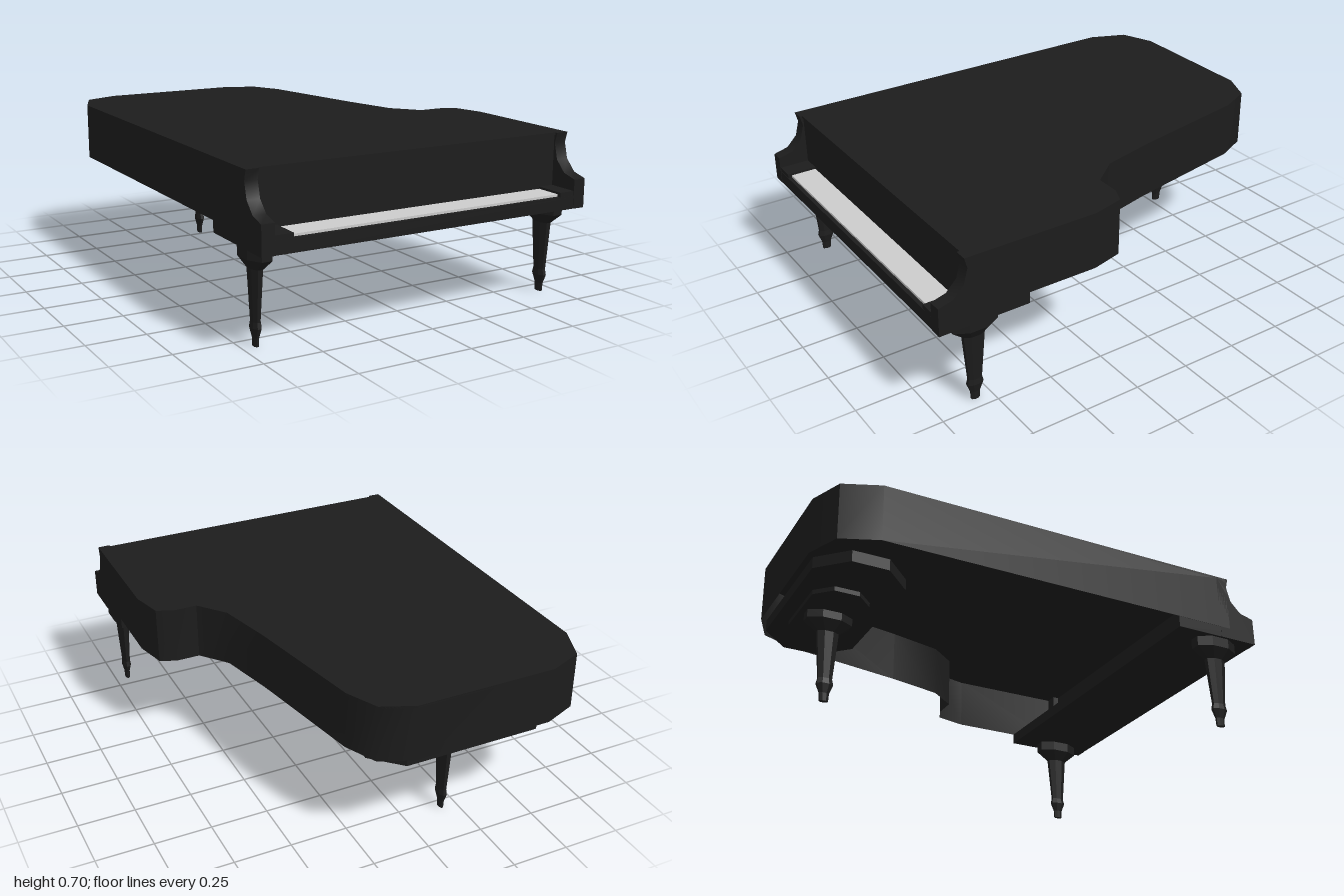
import * as THREE from 'three';
import { toCreasedNormals } from 'three/addons/utils/BufferGeometryUtils.js';

const black = new THREE.MeshStandardMaterial({ color: 0x1c1c1c, side: THREE.DoubleSide });
const blackFlat = new THREE.MeshStandardMaterial({ color: 0x1c1c1c, flatShading: true });
const ivory = new THREE.MeshStandardMaterial({ color: 0xcccccc });

// Case outline as (x, z), from the right front corner round the tail to the left
const outline = [
  [0.755, 0.87], [0.755, 0.29], [0.72, 0.15], [0.65, 0.12], [0.545, 0.12], [0.45, 0],
  [0.39, -0.25], [0.285, -0.8], [0.22, -0.94], [0.08, -1], [-0.54, -1], [-0.69, -0.94],
  [-0.755, -0.78], [-0.755, 0.87],
];

export function createModel() {
  const model = new THREE.Group();

  const add = (name, geometry, material = blackFlat) => {
    const mesh = new THREE.Mesh(geometry, material);
    mesh.name = name;
    model.add(mesh);
    return mesh;
  };

  // Box given by its limits on each axis
  const box = (name, [x0, x1], [y0, y1], [z0, z1], material) =>
    add(name, new THREE.BoxGeometry(x1 - x0, y1 - y0, z1 - z0), material)
      .position.set((x0 + x1) / 2, (y0 + y1) / 2, (z0 + z1) / 2);

  // Horizontal slab from an (x, z) outline
  const slab = (name, points, y0, y1) => {
    const shape = new THREE.Shape(points.map(([x, z]) => new THREE.Vector2(x, -z)));
    const geometry = new THREE.ExtrudeGeometry(shape, { depth: y1 - y0, bevelEnabled: false });
    geometry.rotateX(-Math.PI / 2).translate(0, y0, 0);
    return add(name, geometry);
  };

  // Thin bent rim, open underneath, closed by the lid
  const rim = new THREE.PlaneGeometry(1, 1, outline.length - 1, 1);
  const pos = rim.attributes.position;
  for (let i = 0; i < pos.count; i++) {
    const [x, z] = outline[i % outline.length];
    pos.setXYZ(i, x, i < outline.length ? 0.7 : 0.45, z);
  }
  add('rim', toCreasedNormals(rim, 0.8), black);
  slab('lid', outline, 0.69, 0.7);

  // Keybed, fallboard and keyboard
  box('keybed', [-0.754, 0.754], [0.4, 0.45], [0.6, 0.998]);
  box('fallboard', [-0.7, 0.7], [0.45, 0.695], [0.85, 0.865]);
  box('keySlip', [-0.7, 0.7], [0.45, 0.456], [0.98, 0.998]);
  box('keys', [-0.62, 0.63], [0.45, 0.466], [0.865, 0.98], ivory);
  box('keyBlockRight', [-0.7, -0.62], [0.45, 0.475], [0.865, 0.997]);
  box('keyBlockLeft', [0.63, 0.7], [0.45, 0.475], [0.865, 0.997]);

  // Curved cheeks at both ends of the keyboard, profile in (z, y)
  const cheekProfile = [
    [0.82, 0.4], [1, 0.4], [1, 0.523], [0.935, 0.54], [0.888, 0.588], [0.87, 0.655],
    [0.882, 0.7], [0.82, 0.7],
  ].map(([z, y]) => new THREE.Vector2(z, y));
  const cheek = new THREE.ExtrudeGeometry(new THREE.Shape(cheekProfile), { depth: 0.055, bevelEnabled: false });
  cheek.rotateY(-Math.PI / 2);
  const cheekSmooth = toCreasedNormals(cheek, 0.8);
  add('cheekLeft', cheekSmooth, black).position.x = 0.755;
  add('cheekRight', cheekSmooth, black).position.x = -0.7;

  // Stepped eight-sided plates carrying the tail leg
  const plate = (name, cx, cz, a, b, c, y0, y1) => slab(name, [
    [a, b - c], [a, c - b], [a - c, -b], [c - a, -b], [-a, c - b], [-a, b - c], [c - a, b], [a - c, b],
  ].map(([x, z]) => [cx + x, cz + z]), y0, y1);
  plate('upperLegPlate', -0.2, -0.77, 0.42, 0.2, 0.12, 0.41, 0.46);
  plate('lowerLegPlate', -0.182, -0.785, 0.222, 0.125, 0.07, 0.39, 0.41);

  // Eight-sided turned legs, deeper than wide
  const legProfile = [
    [0, 0], [0.01, 0], [0.011, 0.035], [0.019, 0.075], [0.016, 0.1], [0.025, 0.31],
    [0.053, 0.355], [0.053, 0.4], [0, 0.4],
  ].map(([r, y]) => new THREE.Vector2(r / Math.cos(Math.PI / 8), y));
  const leg = new THREE.LatheGeometry(legProfile, 8);
  leg.rotateY(Math.PI / 8).scale(1, 1, 1.88);
  add('frontLegLeft', leg).position.set(0.69, 0, 0.82);
  add('frontLegRight', leg).position.set(-0.69, 0, 0.82);
  add('tailLeg', leg).position.set(-0.182, 0, -0.785);

  return model;
}
